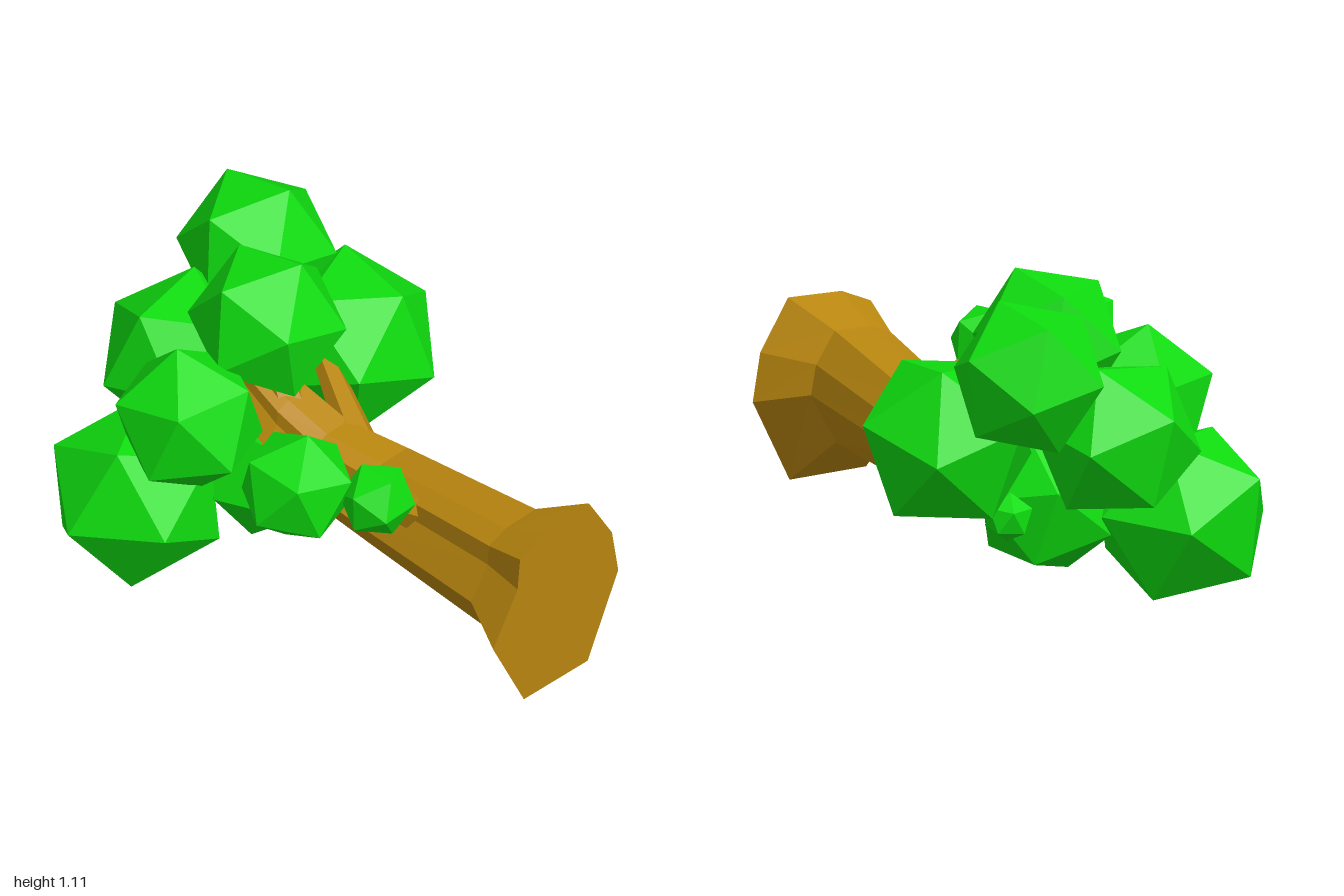
import * as THREE from 'three';

const bark = new THREE.MeshStandardMaterial({ color: 0xb8860f, flatShading: true });
const leaf = new THREE.MeshStandardMaterial({ color: 0x0fdc0f, flatShading: true });
const V = (a) => new THREE.Vector3(...a);

// Basis whose x axis is a and whose xy plane holds b
function basis(a, b) {
  const x = a.clone().normalize();
  const z = x.clone().cross(b).normalize();
  return new THREE.Matrix4().makeBasis(x, z.clone().cross(x), z);
}

// Icosahedral leaf clump, turned so that two of its corners point along a and b
function clump(name, centre, radius, a, b) {
  const t = (1 + Math.sqrt(5)) / 2;
  const va = V(a), vb = V(b);
  if (va.dot(vb) < 0) vb.negate();
  const from = basis(V([0, 1, t]), V([t, 0, 1])).invert();
  const geo = new THREE.IcosahedronGeometry(radius, 0);
  geo.applyMatrix4(basis(va, vb).multiply(from));
  const mesh = new THREE.Mesh(geo, leaf);
  mesh.name = name;
  mesh.position.set(...centre);
  return mesh;
}

// Tapered branch between two points
function branch(name, from, to, r0, r1) {
  const a = V(from), d = V(to).sub(a);
  const mesh = new THREE.Mesh(new THREE.CylinderGeometry(r1, r0, d.length(), 6), bark);
  mesh.name = name;
  mesh.position.copy(a).addScaledVector(d, 0.5);
  mesh.quaternion.setFromUnitVectors(new THREE.Vector3(0, 1, 0), d.normalize());
  return mesh;
}

// Lying trunk: one irregular section scaled and shifted along z
function trunk() {
  const section = [[-1, -0.13], [-0.61, 0.45], [-0.57, 0.81], [-0.18, 0.97], [0.53, 1],
    [0.9, 0.45], [1, -0.08], [0.51, -1], [-0.51, -1]];
  // z, centre x, centre y, half width, half height
  const rings = [
    [1, -0.115, 0.43, 0.305, 0.31],
    [0.81, -0.115, 0.468, 0.205, 0.19],
    [0.14, 0.01, 0.4, 0.17, 0.148],
    [-0.08, -0.025, 0.45, 0.145, 0.13],
    [-0.24, -0.04, 0.52, 0.135, 0.13],
    [-0.42, -0.04, 0.62, 0.1, 0.1],
  ];
  const n = section.length, pos = [], idx = [];
  for (const [z, cx, cy, hx, hy] of rings)
    for (const [x, y] of section) pos.push(cx + x * hx, cy + y * hy, z);
  const last = (rings.length - 1) * n, c0 = pos.length / 3;
  for (const [z, cx, cy] of [rings[0], rings[rings.length - 1]]) pos.push(cx, cy, z);
  for (let j = 0; j < n; j++) {
    const k = (j + 1) % n;
    for (let i = 0; i < last; i += n)
      idx.push(i + j, i + k, i + n + j, i + k, i + n + k, i + n + j);
    idx.push(c0, k, j, c0 + 1, last + j, last + k);
  }
  const geo = new THREE.BufferGeometry();
  geo.setAttribute('position', new THREE.Float32BufferAttribute(pos, 3));
  geo.setIndex(idx);
  const flat = geo.toNonIndexed();
  flat.computeVertexNormals();
  const mesh = new THREE.Mesh(flat, bark);
  mesh.name = 'trunk';
  return mesh;
}

export function createModel() {
  const tree = new THREE.Group();
  tree.name = 'fallenTree';
  tree.add(trunk());

  // Branches reaching into the crown, and a side twig
  tree.add(
    branch('leftBranch', [0.05, 0.51, -0.03], [0.2, 0.64, -0.32], 0.065, 0.04),
    branch('upperBranch', [-0.03, 0.56, -0.26], [0, 0.8, -0.4], 0.08, 0.05),
    branch('lowerBranch', [-0.04, 0.55, -0.4], [-0.34, 0.33, -0.58], 0.05, 0.03),
    branch('lowerTwig', [0, 0.45, -0.4], [0.21, 0.32, -0.48], 0.03, 0.02),
    branch('sideTwig', [-0.11, 0.5, 0.35], [-0.28, 0.62, 0.38], 0.07, 0.04),
    branch('sideTwigFork', [-0.32, 0.66, 0.37], [-0.46, 0.69, 0.21], 0.025, 0.02),
  );

  // Crown clumps
  tree.add(
    clump('leftTopClump', [0.307, 0.86, -0.723], 0.27, [0.246, 0.09, -0.012], [0.053, 0.25, 0.108]),
    clump('topClump', [-0.005, 0.864, -0.39], 0.268, [0.246, 0.077, -0.012], [0.053, 0.25, 0.108]),
    clump('backClump', [-0.045, 0.603, -0.727], 0.29, [-0.04, 0.1, -0.26], [0, -0.19, -0.22]),
    clump('lowerRightClump', [-0.39, 0.273, -0.62], 0.315, [-0.118, -0.268, 0.085], [0.183, -0.262, -0.075]),
    clump('leftClump', [0.4, 0.594, -0.39], 0.311, [0.1, -0.074, 0.285], [0.29, 0.078, 0.057]),
    clump('rightClump', [-0.347, 0.632, -0.425], 0.262, [-0.012, 0.24, -0.04], [-0.245, -0.12, 0.03]),
    clump('lowerClump', [-0.02, 0.325, -0.37], 0.26, [0.145, -0.184, 0.16], [-0.09, -0.23, 0]),
    clump('tinyClump', [0.215, 0.322, -0.48], 0.085, [0, -0.08, 0.01], [0.05, -0.03, 0.05]),
  );

  // Clumps on the side twig
  tree.add(
    clump('sideClump', [-0.479, 0.7, 0.176], 0.202, [0.02, 0.19, 0.03], [-0.136, 0.08, 0.127]),
    clump('sideSmallClump', [-0.32, 0.663, 0.39], 0.13, [-0.115, 0.055, 0], [-0.07, -0.02, 0.113]),
  );
  return tree;
}
